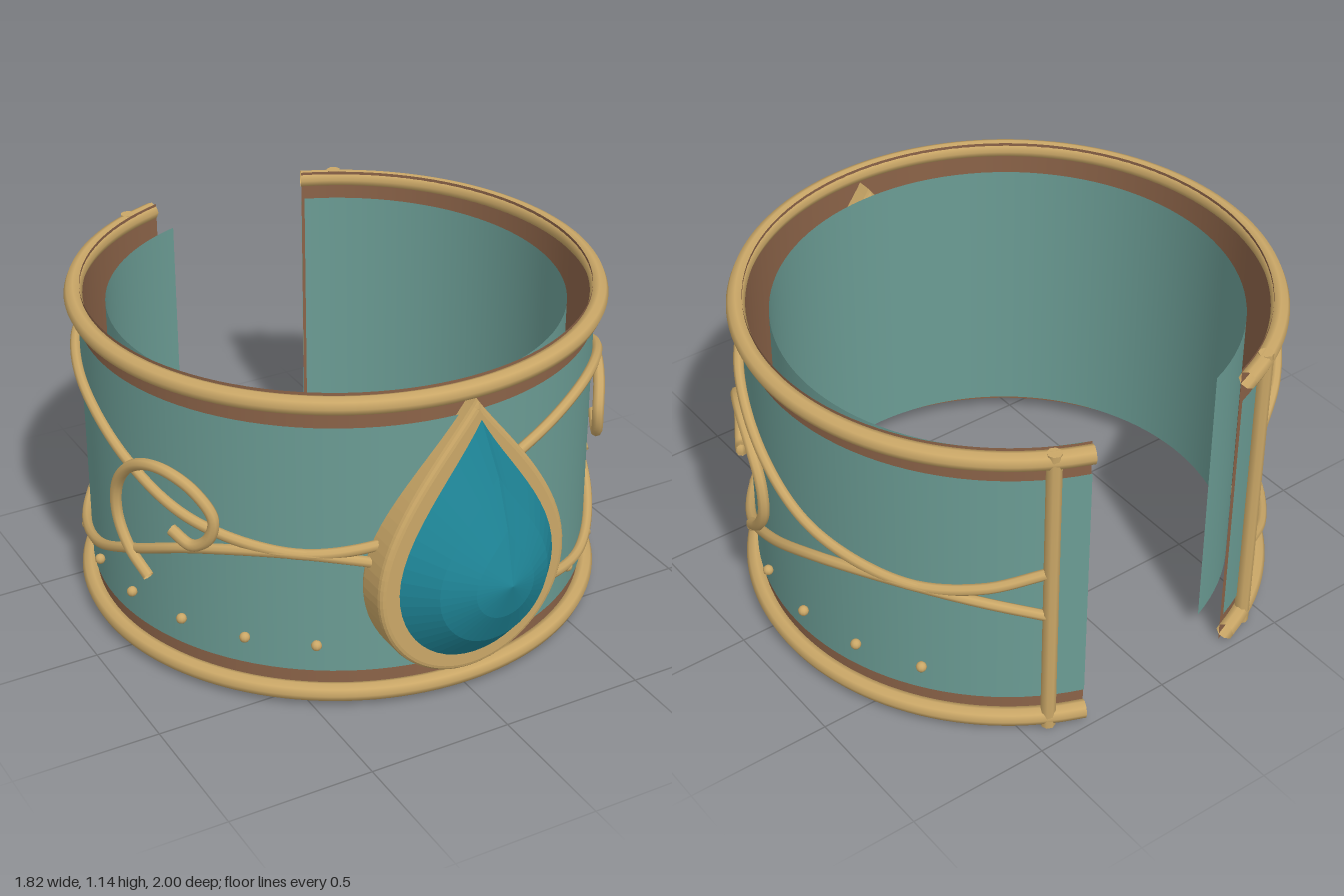
import * as THREE from 'three';

const CZ = -0.14;               // centre of the cuff along z
const HALF = 160;               // half opening angle of the cuff, degrees from the front
const rad = THREE.MathUtils.degToRad;

// Point on the cuff: angle in degrees from the front towards +x
const onCuff = (deg, y, r) =>
  new THREE.Vector3(r * Math.sin(rad(deg)), y, CZ + r * Math.cos(rad(deg)));

const mat = (name, color, side = THREE.FrontSide) => {
  const m = new THREE.MeshStandardMaterial({ color, side });
  m.name = name;
  return m;
};

// Teardrop outline from two mirrored bezier curves per side
function teardrop(Type, tip, c1, c2, side, bottom) {
  const [w, h] = side;
  const k = h - (h - bottom) * 0.55;
  const s = new Type();
  s.moveTo(0, tip);
  s.bezierCurveTo(c1[0], c1[1], c2[0], c2[1], w, h);
  s.bezierCurveTo(w, k, w * 0.55, bottom, 0, bottom);
  s.bezierCurveTo(-w * 0.55, bottom, -w, k, -w, h);
  s.bezierCurveTo(-c2[0], c2[1], -c1[0], c1[1], 0, tip);
  return s;
}
const gemOutline = (Type) => teardrop(Type, 1.02, [0.09, 0.85], [0.285, 0.66], [0.285, 0.465], 0.16);

// Faceted stone: shrinking teardrop loops rising to a point
function gemGeometry() {
  const loop = gemOutline(THREE.Shape).getPoints(12).slice(0, -1);
  const n = loop.length, cy = 0.53;
  const levels = [[0.79, 0], [0.79, 1], [0.893, 0.7], [0.957, 0.37], [1.0, 0]];
  const pos = [], idx = [];
  for (const [z, s] of levels)
    for (const p of loop) pos.push(p.x * s, cy + (p.y - cy) * s, z);
  for (let l = 0; l < levels.length - 1; l++)
    for (let i = 0; i < n; i++) {
      const j = (i + 1) % n, a = l * n + i, b = l * n + j, c = a + n, d = b + n;
      if (levels[l][1] > 0) idx.push(a, c, b);
      if (levels[l + 1][1] > 0) idx.push(b, c, d);
      else if (levels[l][1] === 0) idx.push(a, c, b);
    }
  const g = new THREE.BufferGeometry();
  g.setAttribute('position', new THREE.Float32BufferAttribute(pos, 3));
  // outline runs clockwise, so reverse the faces outward
  g.setIndex(idx);
  const flat = g.toNonIndexed();
  flat.computeVertexNormals();
  return flat;
}

export function createModel() {
  const group = new THREE.Group();
  const enamel = mat('tealEnamel', 0x6b9c94, THREE.DoubleSide);
  const bronze = mat('brownBronze', 0x8b6348, THREE.DoubleSide);
  const gold = mat('gold', 0xcaa767, THREE.DoubleSide);
  const stone = mat('blueStone', 0x1f8799, THREE.DoubleSide);

  const add = (name, geometry, material) => {
    const m = new THREE.Mesh(geometry, material);
    m.name = name;
    group.add(m);
    return m;
  };
  const wire = (name, points, radius, segments) =>
    add(name, new THREE.TubeGeometry(new THREE.CatmullRomCurve3(points), segments, radius, 8), gold);

  // Open sheets of the cuff: core, outer enamel and inner lining
  const sheet = (name, r, y0, y1, material) => {
    const g = new THREE.CylinderGeometry(r, r, y1 - y0, 96, 1, true, rad(-HALF), rad(2 * HALF));
    add(name, g, material).position.set(0, (y0 + y1) / 2, CZ);
  };
  sheet('cuffCore', 0.858, 0, 1.138, bronze);
  sheet('outerBand', 0.868, 0.12, 1.02, enamel);
  sheet('innerLining', 0.775, 0.07, 1.07, enamel);

  // Rim wires
  for (const [name, y] of [['bottomRim', 0.046], ['topRim', 1.106]]) {
    const pts = [];
    for (let i = 0; i <= 48; i++) pts.push(onCuff(-HALF + (i * 2 * HALF) / 48, y, 0.88));
    wire(name, pts, 0.031, 128);
  }

  // Two vine wires, repeated around the cuff
  const upper = [[8, 0.8], [22, 0.872], [39, 0.914], [60, 0.872], [82, 0.741], [100, 0.628], [122, 0.574], [138, 0.6], [152, 0.662]];
  const lower = [[8, 0.34], [22, 0.275], [42, 0.228], [64, 0.292], [82, 0.41], [100, 0.522], [122, 0.574], [138, 0.545], [152, 0.48]];
  for (const [side, shift] of [['left', 0], ['right', -160]]) {
    wire(side + 'UpperVine', upper.map(([a, y]) => onCuff(a + shift, y, 0.885)), 0.018, 80);
    wire(side + 'LowerVine', lower.map(([a, y]) => onCuff(a + shift, y, 0.885)), 0.018, 80);
  }

  // Curls, end bars and beads on both sides
  const curl = [[0.139, 0.35], [0.05, 0.42], [-0.01, 0.52], [-0.005, 0.63], [0.06, 0.725], [0.15, 0.778], [0.24, 0.785],
    [0.33, 0.745], [0.385, 0.665], [0.37, 0.585], [0.315, 0.542], [0.245, 0.575]];
  for (const [side, s] of [['left', 1], ['right', -1]]) {
    wire(side + 'Curl', curl.map(([z, y]) =>
      onCuff(s * THREE.MathUtils.radToDeg(Math.acos((z - CZ) / 0.9)), y, 0.9)), 0.02, 80);

    const bar = add(side + 'EndBar', new THREE.CylinderGeometry(0.025, 0.025, 1.127, 8), gold);
    bar.position.copy(onCuff(s * 152, 0.572, 0.885));

    for (let i = 0; i < 7; i++) {
      const bead = add(side + 'Bead', new THREE.SphereGeometry(0.018, 10, 8), gold);
      bead.position.copy(onCuff(s * (33 + i * 15.4), 0.23, 0.886));
    }
  }

  // Bezel around the stone
  const rim = teardrop(THREE.Shape, 1.08, [0.1, 0.93], [0.345, 0.7], [0.345, 0.45], 0.087);
  rim.holes.push(gemOutline(THREE.Path));
  const bezel = new THREE.ExtrudeGeometry(rim, {
    depth: 0.09, curveSegments: 20, bevelThickness: 0.02, bevelSize: 0.02, bevelOffset: -0.02, bevelSegments: 3,
  });
  add('gemBezel', bezel, gold).position.z = 0.665;

  add('gemStone', gemGeometry(), stone);
  return group;
}
